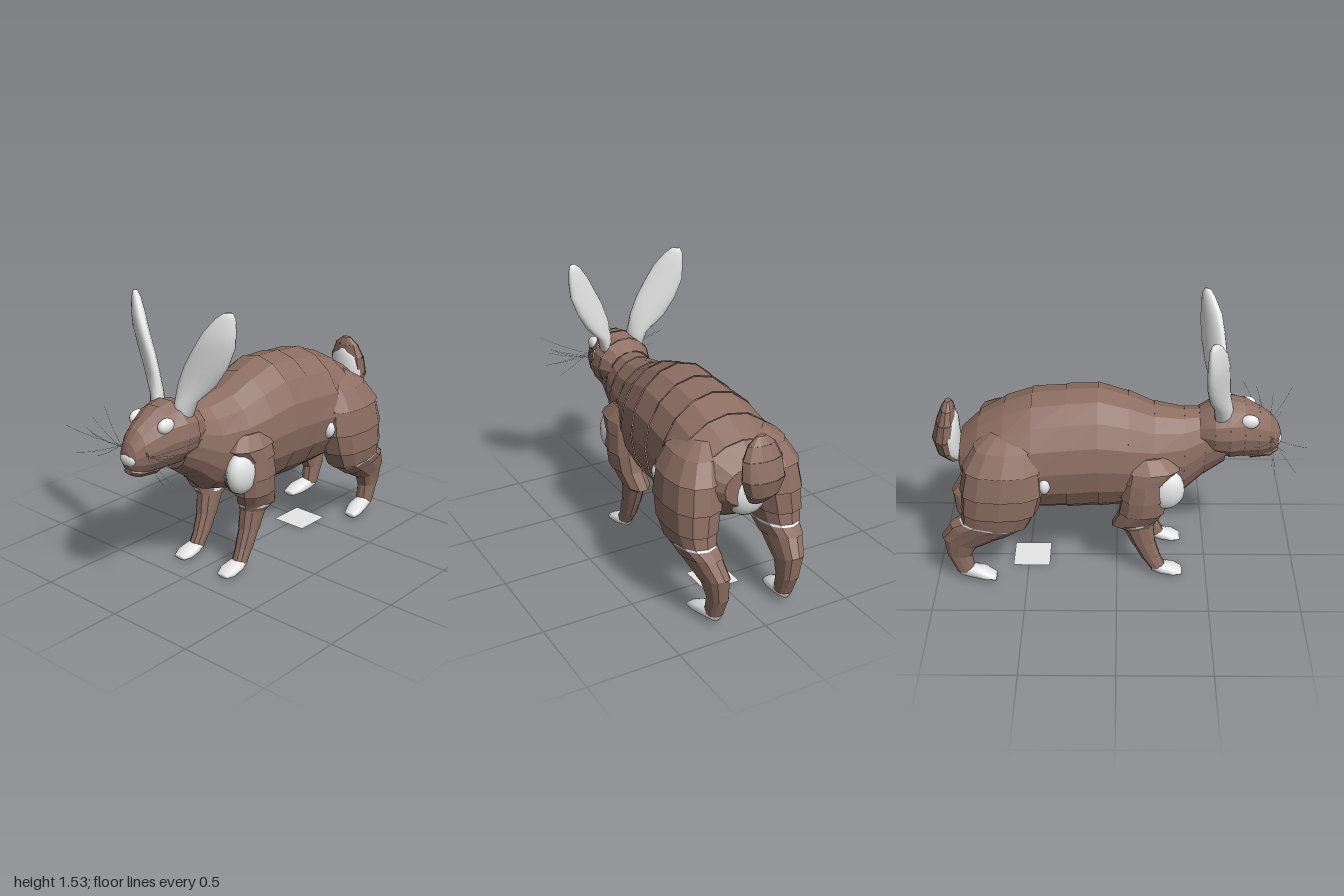
import * as THREE from 'three';
import { mergeVertices } from 'three/addons/utils/BufferGeometryUtils.js';

const fur = new THREE.MeshStandardMaterial({ color: 0x8d6e63, side: THREE.DoubleSide });
fur.name = 'brown fur';
const pale = new THREE.MeshStandardMaterial({ color: 0xeeeeee, side: THREE.DoubleSide });
pale.name = 'pale fur';

// Skins rings of [x, y, z, halfX, halfD, angle]; the second axis tilts from z (0) to y (PI / 2).
// flare widens the end of every band so that the panels overlap like shingles;
// power below 1 makes the sections boxier, shear slides them in z along x.
function loft(rings, { n = 12, flare = 0, smooth = false, from = 0, arc = Math.PI * 2, shear = 0, power = 1 } = {}) {
  const pos = [];
  const bulge = (v) => Math.sign(v) * Math.abs(v) ** power;
  const point = ([x, y, z, hx, hd, a = 0], k, f) => {
    const t = from + (arc * k) / n;
    const dx = hx * f * bulge(Math.cos(t)), d = hd * f * bulge(Math.sin(t));
    return new THREE.Vector3(x + dx, y + d * Math.sin(a), z + d * Math.cos(a) - shear * dx);
  };
  let outward = 0;
  const tri = (a, b, c, centre) => {
    const normal = b.clone().sub(a).cross(c.clone().sub(a));
    outward += normal.dot(a.clone().add(b).add(c).divideScalar(3).sub(centre));
    pos.push(a, b, c);
  };
  for (let i = 0; i < rings.length - 1; i++) {
    const a = rings[i], b = rings[i + 1];
    const mid = new THREE.Vector3(a[0] + b[0], a[1] + b[1], a[2] + b[2]).divideScalar(2);
    for (let k = 0; k < n; k++) {
      const p = point(a, k, 1), q = point(a, k + 1, 1);
      const r = point(b, k + 1, 1 + flare), s = point(b, k, 1 + flare);
      tri(p, q, r, mid);
      tri(p, r, s, mid);
    }
  }
  // Close both ends with fans.
  const last = rings.length - 1;
  for (const i of [0, last]) {
    const c = new THREE.Vector3(...rings[i]);
    const inner = new THREE.Vector3(...rings[i === 0 ? 1 : last - 1]);
    for (let k = 0; k < n; k++) {
      const p = point(rings[i], k, 1), q = point(rings[i], k + 1, 1);
      if (i === 0) tri(c, q, p, inner);
      else tri(c, p, q, inner);
    }
  }
  if (outward < 0) for (let i = 0; i < pos.length; i += 3) [pos[i + 1], pos[i + 2]] = [pos[i + 2], pos[i + 1]];
  let geo = new THREE.BufferGeometry().setFromPoints(pos);
  if (smooth) geo = mergeVertices(geo);
  geo.computeVertexNormals();
  return geo;
}

function ball(x, y, z, rx, ry, rz) {
  return new THREE.SphereGeometry(1, 14, 10).scale(rx, ry, rz).translate(x, y, z);
}

export function createModel() {
  const model = new THREE.Group();
  model.name = 'rabbit';
  const add = (name, geo, mat) => {
    const mesh = new THREE.Mesh(geo, mat);
    mesh.name = name;
    model.add(mesh);
  };
  // Upright sections along z, as [z, centreY, halfWidth, halfHeight]
  const along = (list) => list.map(([z, y, w, h]) => [0, y, z, w, h, Math.PI / 2]);

  add('body', loft(along([
    [0.58, 0.83, 0.13, 0.16], [0.47, 0.785, 0.145, 0.195], [0.36, 0.73, 0.18, 0.245],
    [0.2, 0.72, 0.225, 0.28], [0.06, 0.735, 0.26, 0.325], [-0.1, 0.755, 0.28, 0.352],
    [-0.27, 0.747, 0.288, 0.348], [-0.45, 0.74, 0.3, 0.335], [-0.6, 0.735, 0.3, 0.28],
    [-0.74, 0.73, 0.25, 0.203], [-0.84, 0.73, 0.16, 0.11],
  ]), { n: 16, flare: 0.015 }), fur);

  add('head', loft(along([
    [0.88, 0.815, 0.03, 0.04], [0.865, 0.82, 0.055, 0.078], [0.82, 0.835, 0.085, 0.12],
    [0.76, 0.85, 0.112, 0.143], [0.68, 0.872, 0.137, 0.168], [0.6, 0.88, 0.165, 0.172],
    [0.52, 0.88, 0.16, 0.15], [0.44, 0.88, 0.125, 0.1],
  ]), { n: 14, flare: 0.02 }), fur);
  add('chin', loft(along([
    [0.87, 0.745, 0.03, 0.015], [0.83, 0.735, 0.06, 0.03], [0.72, 0.725, 0.07, 0.03],
  ]), { n: 8 }), fur);
  add('nose', ball(0, 0.808, 0.866, 0.052, 0.036, 0.024), pale);

  // Tail: brown all round, with a pale shell on the lower front
  add('tail', loft([
    [0, 0.67, -0.89, 0.05, 0.03], [0, 0.73, -0.925, 0.09, 0.055], [0, 0.82, -0.93, 0.12, 0.068],
    [0, 0.92, -0.915, 0.11, 0.055], [0, 0.99, -0.905, 0.075, 0.035], [0, 1.03, -0.9, 0.025, 0.015],
  ], { n: 10, flare: 0.03 }), fur);
  add('tailFront', loft([
    [0, 0.66, -0.87, 0.03, 0.03], [0, 0.73, -0.91, 0.085, 0.06], [0, 0.82, -0.915, 0.11, 0.07],
    [0, 0.92, -0.905, 0.09, 0.055], [0, 0.965, -0.89, 0.03, 0.025],
  ], { n: 8, from: 0.2, arc: Math.PI - 0.4, smooth: true }), pale);
  add('rumpPatch', ball(0, 0.68, -0.785, 0.12, 0.135, 0.085), pale);

  for (const s of [1, -1]) {
    const side = s > 0 ? 'left' : 'right';
    const flip = (rings) => rings.map(([x, ...rest]) => [x * s, ...rest]);

    add(side + 'Ear', loft(flip([
      [0.09, 0.96, 0.57, 0.035, 0.05], [0.103, 1.05, 0.557, 0.048, 0.045],
      [0.16, 1.15, 0.533, 0.088, 0.04], [0.208, 1.25, 0.52, 0.098, 0.042],
      [0.255, 1.35, 0.51, 0.091, 0.042], [0.281, 1.43, 0.502, 0.071, 0.04],
      [0.307, 1.5, 0.487, 0.043, 0.028], [0.32, 1.53, 0.482, 0.018, 0.015],
    ]), { n: 16, smooth: true, shear: 0.5 * s }), pale);
    add(side + 'Eye', ball(0.1 * s, 0.96, 0.7, 0.03, 0.04, 0.052), pale);

    // Front leg, chest panel, shoulder patch and paw
    add(side + 'FrontLeg', loft(flip([
      [0.17, 0.8, 0.16, 0.06, 0.1], [0.19, 0.73, 0.18, 0.09, 0.15], [0.2, 0.66, 0.15, 0.085, 0.115],
      [0.2, 0.55, 0.145, 0.088, 0.12],
      [0.19, 0.45, 0.135, 0.085, 0.12], [0.17, 0.37, 0.1, 0.07, 0.125, 0.15],
      [0.16, 0.33, 0.12, 0.055, 0.085, 0.2], [0.157, 0.22, 0.15, 0.047, 0.062, 0.25],
      [0.157, 0.12, 0.19, 0.04, 0.05, 0.3], [0.16, 0.04, 0.235, 0.038, 0.04, 0.2],
    ]), { n: 10, flare: 0.06, power: 0.9 }), fur);
    add(side + 'ElbowCuff', loft(flip([
      [0.17, 0.372, 0.1, 0.071, 0.127, 0.15], [0.166, 0.352, 0.11, 0.066, 0.109, 0.17],
    ]), { n: 10 }), pale);
    add(side + 'ChestPanel', loft(flip([
      [0.13, 0.76, 0.22, 0.05, 0.08], [0.137, 0.68, 0.25, 0.07, 0.1],
      [0.137, 0.58, 0.24, 0.07, 0.105], [0.14, 0.46, 0.2, 0.06, 0.06],
    ]), { n: 8 }), fur);
    add(side + 'ShoulderPatch', ball(0.208 * s, 0.603, 0.26, 0.066, 0.122, 0.105), pale);
    add(side + 'FrontPaw', loft(flip([
      [0.16, 0.045, 0.195, 0.03, 0.025, 1.57], [0.16, 0.04, 0.25, 0.05, 0.036, 1.57],
      [0.16, 0.027, 0.32, 0.06, 0.026, 1.57], [0.16, 0.016, 0.365, 0.04, 0.012, 1.57],
    ]), { n: 10, smooth: true }), pale);

    // Hind leg with a pale band below the thigh, flank patch and paw
    add(side + 'HindLeg', loft(flip([
      [0.15, 0.93, -0.57, 0.06, 0.1], [0.185, 0.87, -0.58, 0.115, 0.17], [0.22, 0.76, -0.6, 0.14, 0.21],
      [0.238, 0.62, -0.61, 0.137, 0.22], [0.25, 0.5, -0.63, 0.12, 0.2], [0.25, 0.42, -0.66, 0.1, 0.175, -0.1],
      [0.24, 0.36, -0.755, 0.078, 0.15, -0.25], [0.22, 0.27, -0.86, 0.06, 0.1, -0.35],
      [0.21, 0.17, -0.87, 0.047, 0.067], [0.21, 0.06, -0.84, 0.042, 0.05],
    ]), { n: 12, flare: 0.045, power: 0.82 }), fur);
    add(side + 'ThighBand', loft(flip([
      [0.25, 0.422, -0.658, 0.102, 0.177, -0.1], [0.248, 0.406, -0.683, 0.096, 0.17, -0.13],
    ]), { n: 12, power: 0.82 }), pale);
    add(side + 'FlankPatch', ball(0.268 * s, 0.67, -0.385, 0.045, 0.055, 0.035), pale);
    add(side + 'HindPaw', loft(flip([
      [0.21, 0.055, -0.875, 0.03, 0.03, 1.57], [0.215, 0.057, -0.81, 0.048, 0.043, 1.57],
      [0.225, 0.045, -0.73, 0.057, 0.033, 1.57], [0.235, 0.028, -0.67, 0.04, 0.015, 1.57],
    ]), { n: 10, smooth: true }), pale);

    // Whiskers droop and fan out from the muzzle
    const tips = [
      [0.35, 0.96, 0.7], [0.35, 0.92, 0.78], [0.3, 0.9, 0.87], [0.34, 0.84, 0.8],
      [0.32, 0.94, 0.98], [0.31, 0.78, 0.93], [0.27, 0.74, 0.83],
    ];
    tips.forEach(([x, y, z], i) => {
      const root = new THREE.Vector3(0.075 * s, 0.82 + 0.007 * i, 0.82);
      const tip = new THREE.Vector3(x * s, y, z);
      const bend = root.clone().lerp(tip, 0.5).add(new THREE.Vector3(0, -0.02, 0.01));
      const path = new THREE.QuadraticBezierCurve3(root, bend, tip);
      add(side + 'Whisker', new THREE.TubeGeometry(path, 4, 0.001, 4), pale);
    });
  }

  // Small flat square lying under the belly
  add('groundPlate', new THREE.PlaneGeometry(0.207, 0.207).rotateX(-Math.PI / 2).translate(0, 0.001, -0.485), pale);
  return model;
}
